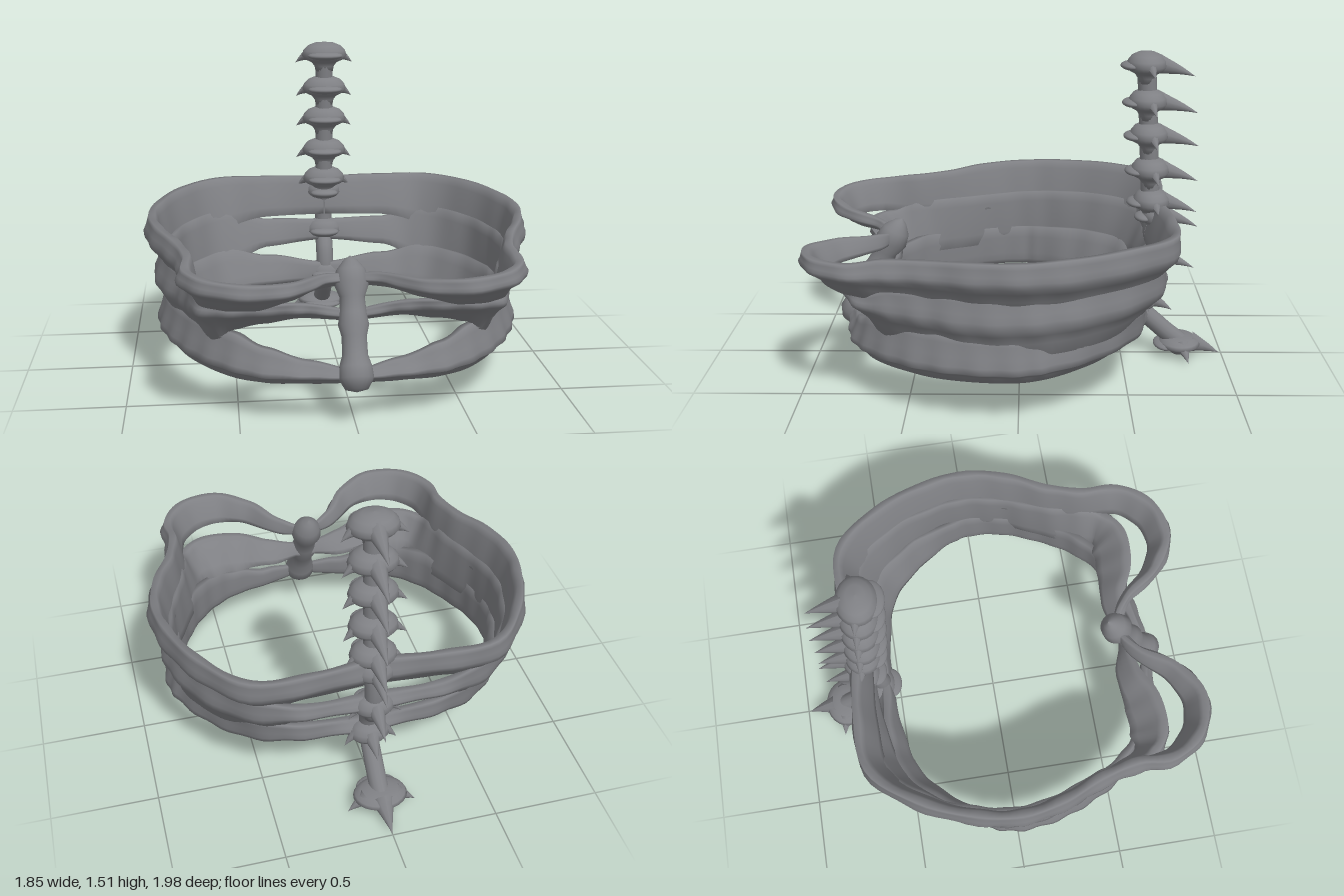
import * as THREE from 'three';

const V = (x, y, z) => new THREE.Vector3(x, y, z);

// Rib section: [fraction of the upper/lower flange, outward offset]
const SECTION = [
  [1, 0.004], [0.75, 0.014], [0.4, 0.03], [0.15, 0.045], [-0.1, 0.048], [-0.3, 0.03], [-0.6, 0.008], [-1, 0],
  [-1, -0.02], [-0.6, -0.028], [0, -0.03], [0.6, -0.03], [1, -0.026],
];

// Stations run from spine to breastbone: [x, y, z, flange up, flange down, outward lean]
const RIBS = {
  upperRib: [
    [0, 0.71, -0.65, 0.09, 0.1, 0.3], [0.3, 0.71, -0.675, 0.09, 0.11, 0.4],
    [0.55, 0.7, -0.655, 0.1, 0.15, 0.4], [0.73, 0.7, -0.46, 0.1, 0.15, 0.3],
    [0.84, 0.69, -0.2, 0.1, 0.15, 0.25], [0.87, 0.69, 0, 0.09, 0.15, 0.25],
    [0.83, 0.68, 0.2, 0.09, 0.15, 0.25], [0.75, 0.67, 0.4, 0.08, 0.14, 0.2],
    [0.705, 0.66, 0.58, 0.08, 0.12, 0.2], [0.7, 0.66, 0.75, 0.06, 0.1, 0.4],
    [0.6, 0.66, 0.89, 0.055, 0.09, 0.55], [0.43, 0.65, 0.935, 0.055, 0.075, 0.6],
    [0.27, 0.64, 0.85, 0.045, 0.05, 0.6], [0.14, 0.63, 0.69, 0.035, 0.035, 0.4],
    [0.02, 0.62, 0.62, 0.025, 0.025, 0],
  ],
  middleRib: [
    [0, 0.52, -0.64, 0.05, 0.05, 0.3], [0.3, 0.52, -0.635, 0.055, 0.075, 0.5],
    [0.52, 0.52, -0.59, 0.12, 0.15, 0.4], [0.7, 0.51, -0.41, 0.13, 0.15, 0.2],
    [0.805, 0.5, -0.18, 0.13, 0.15, 0.05], [0.83, 0.49, 0, 0.13, 0.15, 0.05],
    [0.795, 0.48, 0.2, 0.13, 0.15, 0.05], [0.72, 0.48, 0.38, 0.13, 0.15, 0.1],
    [0.67, 0.485, 0.54, 0.12, 0.15, 0.25], [0.63, 0.51, 0.68, 0.05, 0.13, 0.5],
    [0.52, 0.52, 0.735, 0.045, 0.11, 0.95], [0.36, 0.515, 0.72, 0.045, 0.085, 1.1],
    [0.2, 0.495, 0.665, 0.04, 0.05, 1], [0.03, 0.47, 0.67, 0.03, 0.03, 0.5],
  ],
  lowerRib: [
    [0, 0.31, -0.56, 0.045, 0.045, 0.2], [0.3, 0.31, -0.545, 0.085, 0.055, 0.5],
    [0.5, 0.305, -0.485, 0.14, 0.055, 0.5], [0.67, 0.29, -0.32, 0.15, 0.06, 0.3],
    [0.785, 0.28, -0.12, 0.15, 0.06, 0.05], [0.815, 0.275, 0, 0.15, 0.06, 0.05],
    [0.795, 0.27, 0.18, 0.15, 0.06, 0], [0.73, 0.26, 0.36, 0.16, 0.06, 0],
    [0.64, 0.255, 0.52, 0.17, 0.055, 0], [0.52, 0.25, 0.65, 0.15, 0.055, 0],
    [0.38, 0.24, 0.73, 0.11, 0.045, 0], [0.2, 0.24, 0.77, 0.06, 0.04, 0],
    [0.02, 0.24, 0.81, 0.03, 0.03, 0],
  ],
};

// Sweep the rib section along its stations; side is +1 (left) or -1 (right)
function ribGeometry(stations, side) {
  const path = new THREE.CatmullRomCurve3(stations.map(s => V(s[0], s[1], s[2])));
  const steps = 84, n = SECTION.length, pos = [], index = [];
  for (let i = 0; i <= steps; i++) {
    const t = i / steps, c = path.getPoint(t), k = Math.min((stations.length - 1) * t, stations.length - 1.001);
    const f = k - Math.floor(k), a = stations[Math.floor(k)], b = stations[Math.floor(k) + 1];
    const [up, down, lean] = [3, 4, 5].map(m => a[m] + (b[m] - a[m]) * f * f * (3 - 2 * f));
    const out = V(0, 1, 0).cross(path.getTangent(t)).setY(0).normalize();
    const thick = Math.min(1, (up + down) / 0.1) * (1 + 0.1 * Math.sin(i * 1.1));
    for (const [v, w] of SECTION) {
      const dy = v * (v > 0 ? up : down), d = w * thick + lean * dy;
      pos.push(side * (c.x + out.x * d), c.y + dy, c.z + out.z * d);
    }
  }
  for (let i = 0; i < steps; i++) for (let j = 0; j < n; j++) {
    const a = i * n + j, b = i * n + (j + 1) % n, c = a + n, d = b + n;
    if (side > 0) index.push(a, c, b, b, c, d);
    else index.push(a, b, c, b, d, c);
  }
  const g = new THREE.BufferGeometry();
  g.setAttribute('position', new THREE.Float32BufferAttribute(pos, 3));
  g.setIndex(index);
  g.computeVertexNormals();
  return g;
}

export function createModel() {
  const model = new THREE.Group();
  const bone = new THREE.MeshStandardMaterial({ color: 0x7f8084 });
  bone.name = 'grey bone';

  const add = (name, geometry, parent = model) => {
    const m = new THREE.Mesh(geometry, bone);
    m.name = name;
    parent.add(m);
    return m;
  };
  const lathe = (points, sides) => new THREE.LatheGeometry(points.map(p => new THREE.Vector2(...p)), sides);
  // Curved thorn: a cone whose middle is raised so the tip droops
  const thorn = (name, from, to, r, parent) => {
    const a = V(...from), b = V(...to), len = a.distanceTo(b);
    const g = new THREE.ConeGeometry(r, len, 10, 5, true).translate(0, len / 2, 0);
    g.applyQuaternion(new THREE.Quaternion().setFromUnitVectors(V(0, 1, 0), b.clone().sub(a).normalize()));
    g.translate(a.x, a.y, a.z);
    const p = g.attributes.position;
    for (let i = 0; i < p.count; i++) {
      const t = V().fromBufferAttribute(p, i).distanceTo(a) / len;
      p.setY(i, p.getY(i) + 0.03 * Math.max(0, t * (1 - t)));
    }
    g.computeVertexNormals();
    return add(name, g, parent);
  };

  // Ribs, mirrored; broad side flanges join into one wall
  for (const [name, stations] of Object.entries(RIBS)) {
    add(name + 'Left', ribGeometry(stations, 1));
    add(name + 'Right', ribGeometry(stations, -1));
  }

  // Breastbone: slanted rod with knobs
  const low = V(0, 0.18, 0.84), high = V(0, 0.71, 0.57), len = low.distanceTo(high);
  const breastbone = add('breastbone', lathe([[0, 0], [0.05, 0.012], [0.078, 0.06], [0.072, 0.11], [0.056, 0.16],
    [0.055, 0.24], [0.068, 0.29], [0.06, 0.34], [0.055, 0.41], [0.078, 0.47], [0.065, 0.53], [0.03, 0.575],
    [0, len]], 20));
  breastbone.position.copy(low);
  breastbone.quaternion.setFromUnitVectors(V(0, 1, 0), high.clone().sub(low).normalize());

  // Spinal column
  const column = new THREE.CatmullRomCurve3([V(0, 1.47, -0.59), V(0, 1.12, -0.61), V(0, 0.8, -0.63),
    V(0, 0.66, -0.66), V(0, 0.5, -0.65), V(0, 0.4, -0.59), V(0, 0.28, -0.58), V(0, 0.16, -0.69), V(0, 0.07, -0.8)]);
  add('spinalColumn', new THREE.TubeGeometry(column, 70, 0.045, 14));

  // Domed vertebra body with a rim and a narrowing neck
  const body = lathe([[0, -0.1], [0.045, -0.095], [0.05, -0.07], [0.065, -0.05], [0.1, -0.034], [0.116, -0.014],
    [0.108, 0.012], [0.085, 0.036], [0.05, 0.05], [0, 0.055]], 24);
  const lip = new THREE.SphereGeometry(1, 20, 12);

  // Vertebrae: [y, z, size, back thorn length]
  const vertebrae = [[1.47, -0.59, 1, 0.23], [1.295, -0.6, 0.98, 0.24], [1.135, -0.61, 0.98, 0.24],
    [0.965, -0.62, 0.98, 0.23], [0.81, -0.63, 0.95, 0.22], [0.735, -0.66, 0.8, 0.2],
    [0.525, -0.65, 0.85, 0.2], [0.305, -0.59, 0.85, 0.16], [0.08, -0.79, 1.1, 0.2]];
  vertebrae.forEach(([y, z, s, back], i) => {
    const v = new THREE.Group();
    v.name = 'vertebra' + (i + 1);
    v.position.set(0, y, z);
    model.add(v);
    // the tail vertebra is flattened so its neck stays inside the column
    add('body', body, v).scale.set(s, i === 8 ? 0.6 : 1, 0.82 * s);
    const frontLip = add('frontLip', lip, v);
    frontLip.position.set(0, -0.012, 0.06);
    frontLip.scale.set(0.09 * s, 0.022, 0.062 * s);
    thorn('backThorn', [0, -0.01, -0.05], [0, -0.064, -back], 0.048 * s, v);
    for (const side of [-1, 1]) {
      thorn('sideThorn', [side * 0.07, -0.01, -0.01], [side * 0.148 * s, -0.054, -0.03], 0.036 * s, v);
    }
  });
  return model;
}
